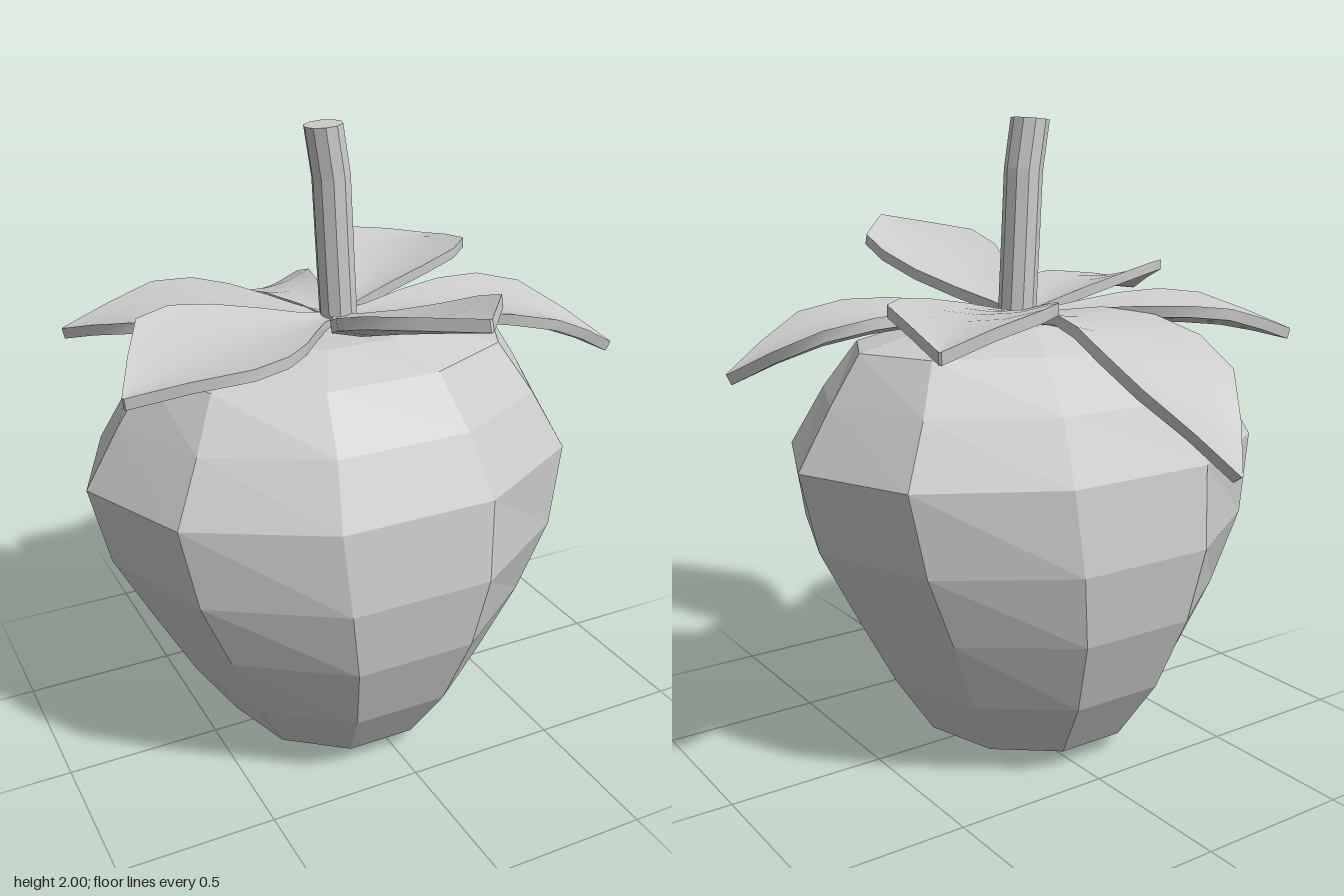
import * as THREE from 'three';
import { toCreasedNormals } from 'three/addons/utils/BufferGeometryUtils.js';

// Skin a list of closed rings (equal point counts) and cap both ends.
function loft(rings) {
  const n = rings[0].length;
  const points = rings.flat();
  const index = [];
  for (let i = 0; i < rings.length - 1; i++) {
    for (let j = 0; j < n; j++) {
      const k = (j + 1) % n;
      const a = i * n + j, b = (i + 1) * n + j, c = (i + 1) * n + k, d = i * n + k;
      index.push(a, b, c, a, c, d);
    }
  }
  [rings[0], rings[rings.length - 1]].forEach((ring, end) => {
    const centre = new THREE.Vector3();
    ring.forEach((p) => centre.addScaledVector(p, 1 / n));
    const m = points.push(centre) - 1;
    const start = end ? (rings.length - 1) * n : 0;
    for (let j = 0; j < n; j++) {
      const p = start + j, q = start + (j + 1) % n;
      index.push(m, end ? q : p, end ? p : q);
    }
  });
  const geometry = new THREE.BufferGeometry().setFromPoints(points);
  geometry.setIndex(index);
  return geometry;
}

// Elliptical ring of points; slope tilts it along x.
function ellipse(sides, x, y, z, rx, rz, slope = 0) {
  return Array.from({ length: sides }, (_, i) => {
    const a = (i / sides) * Math.PI * 2;
    return new THREE.Vector3(x + rx * Math.cos(a), y + slope * rx * Math.cos(a), z + rz * Math.sin(a));
  });
}

// Leaf half widths along its length.
const LEAF_WIDTHS = [[0, 0.02], [0.12, 0.05], [0.25, 0.11], [0.4, 0.18], [0.55, 0.225], [0.7, 0.215], [0.85, 0.11], [1, 0.004]];

// Thick, slightly cupped leaf following a curve from the stem to the tip.
function leafGeometry(riseY, mid, tip, roll) {
  const base = new THREE.Vector3(-0.03, 1.4, -0.04);
  const m = new THREE.Vector3(...mid), t = new THREE.Vector3(...tip);
  const rise = base.clone().lerp(m, 0.5).setY(riseY);
  const curve = new THREE.CatmullRomCurve3([base, rise, m, t]);
  const side = new THREE.Vector3(t.z - base.z, 0, base.x - t.x).normalize();
  const rings = LEAF_WIDTHS.map(([u, w]) => {
    const c = curve.getPointAt(u);
    const tangent = curve.getTangentAt(u);
    const normal = tangent.clone().cross(side).normalize();
    const top = [-1, -0.5, 0, 0.5, 1].map((s) =>
      c.clone().addScaledVector(side, s * w)
        .addScaledVector(normal, (0.04 * s * s + roll * s) * (w / 0.225)));
    const thickness = 0.035;
    const bottom = top.map((p) => p.clone().addScaledVector(normal, -thickness)).reverse();
    return [...top, ...bottom];
  });
  return toCreasedNormals(loft(rings), 0.7);
}

export function createModel() {
  const model = new THREE.Group();
  const faceted = new THREE.MeshStandardMaterial({ color: 0xcccccc, flatShading: true });
  const smooth = new THREE.MeshStandardMaterial({ color: 0xcccccc });
  const add = (name, geometry, material) => {
    if (!geometry.attributes.normal) geometry.computeVertexNormals();
    const mesh = new THREE.Mesh(geometry, material);
    mesh.name = name;
    model.add(mesh);
  };

  // Fruit: ten-sided oval rings [height, x radius, z radius]
  const fruit = [
    [0, 0.19, 0.205], [0.06, 0.36, 0.395], [0.26, 0.495, 0.53], [0.5, 0.625, 0.625],
    [0.73, 0.745, 0.66], [0.985, 0.805, 0.63], [1.17, 0.695, 0.525], [1.32, 0.595, 0.385],
    [1.385, 0.33, 0.22],
  ];
  add('fruit', loft(fruit.map(([y, rx, rz]) => ellipse(10, -0.057, y, -0.01, rx, rz))), faceted);

  // Stem: bends towards -x as it rises [x, height, slope]
  const stem = [[-0.01, 1.36, 0], [-0.026, 1.66, 0.08], [-0.035, 1.84, 0.12], [-0.06, 1.995, 0.08]];
  add('stem', loft(stem.map(([x, y, slope]) => ellipse(10, x, y, -0.035, 0.06, 0.06, slope))), faceted);

  // Leaves: [name, rise height, widest point, tip, roll]
  const leaves = [
    ['frontLeaf', 1.47, [-0.03, 1.575, 0.58], [-0.03, 1.66, 0.86], 0],
    ['frontLeftLeaf', 1.415, [0.62, 1.37, 0.13], [0.86, 1.255, 0.22], 0],
    ['backLeftLeaf', 1.45, [0.48, 1.465, -0.49], [0.67, 1.43, -0.68], 0],
    ['backLeaf', 1.405, [-0.12, 1.25, -0.7], [-0.2, 1.02, -0.86], 0],
    ['backRightLeaf', 1.41, [-0.565, 1.395, -0.35], [-0.78, 1.34, -0.47], 0],
    ['frontRightLeaf', 1.44, [-0.62, 1.455, 0.27], [-0.84, 1.42, 0.38], -0.03],
  ];
  leaves.forEach(([name, rise, mid, tip, roll]) => add(name, leafGeometry(rise, mid, tip, roll), smooth));

  return model;
}
